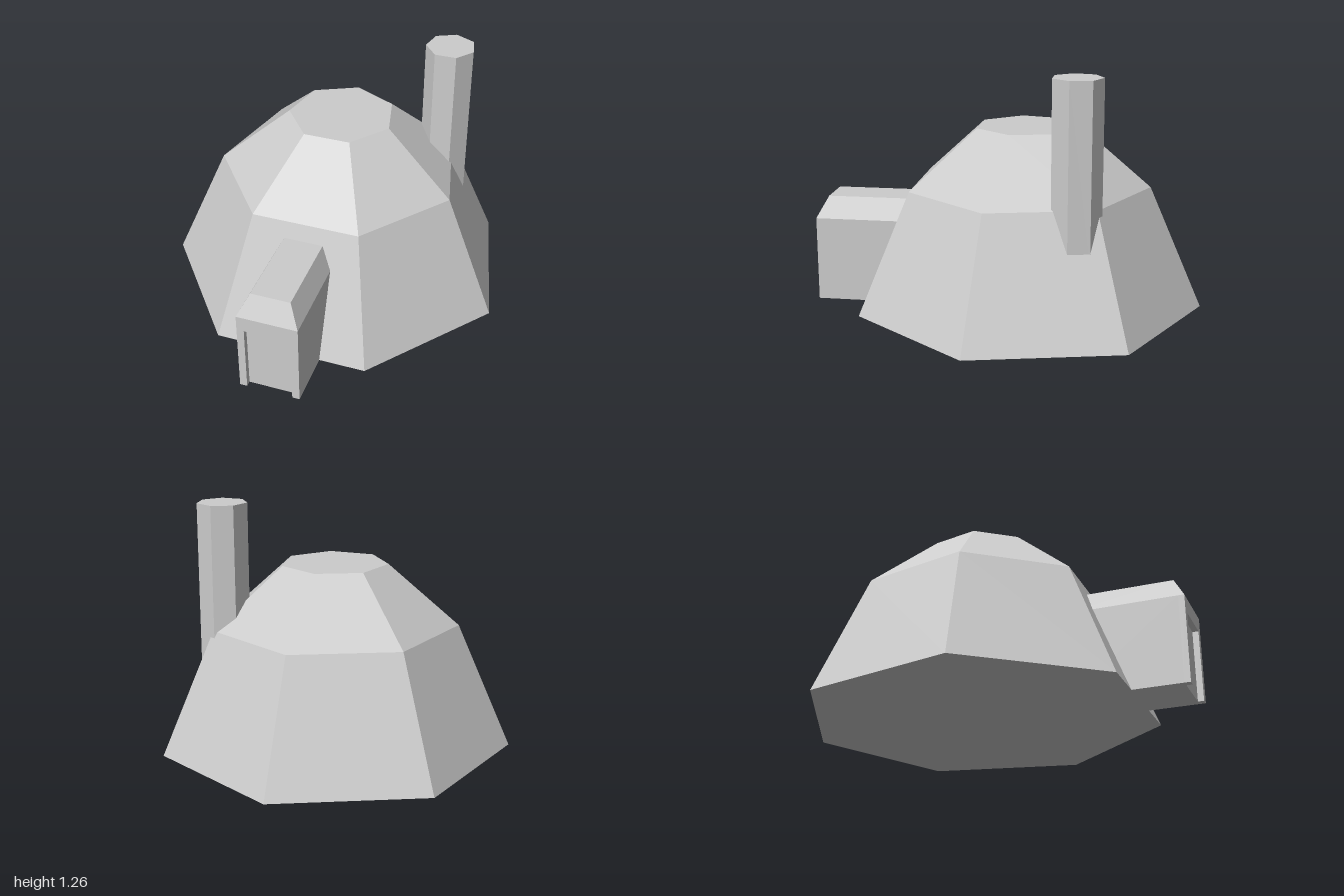
import * as THREE from 'three';

const material = new THREE.MeshStandardMaterial({ color: 0xcccccc, flatShading: true });

function addPart(parent, name, geometry, x = 0, y = 0, z = 0) {
  const mesh = new THREE.Mesh(geometry, material);
  mesh.name = name;
  mesh.position.set(x, y, z);
  parent.add(mesh);
  return mesh;
}

// Upright seven-sided solid with one corner pointing to the back; profile is [radius, height] pairs
function heptagonSolid(profile) {
  const points = profile.map(([r, y]) => new THREE.Vector2(r, y));
  return new THREE.LatheGeometry(points, 7, Math.PI).toNonIndexed();
}

// Entrance tunnel with a hipped roof and a recessed door
function createPorch() {
  const porch = new THREE.Group();
  porch.name = 'porch';
  const half = 0.154, eaves = 0.44, ridge = 0.55, back = 0.42, front = 1, recess = 0.03;

  // Walls behind the door frame
  const depth = front - recess - back;
  addPart(porch, 'porchWalls', new THREE.BoxGeometry(half * 2, eaves, depth), 0, eaves / 2, back + depth / 2);

  // Front frame, open at the doorway
  const doorHalf = 0.117, doorTop = 0.36;
  const frame = new THREE.Shape([
    [-half, 0], [-doorHalf, 0], [-doorHalf, doorTop], [doorHalf, doorTop],
    [doorHalf, 0], [half, 0], [half, eaves], [-half, eaves],
  ].map(([x, y]) => new THREE.Vector2(x, y)));
  const frameGeometry = new THREE.ExtrudeGeometry(frame, { depth: recess, bevelEnabled: false });
  addPart(porch, 'doorFrame', frameGeometry, 0, 0, front - recess);

  // Roof: a box whose top is drawn in at the sides and front
  const roof = new THREE.BoxGeometry(half * 2, ridge - eaves, front - back);
  const p = roof.attributes.position;
  for (let i = 0; i < p.count; i++) {
    if (p.getY(i) < 0) continue;
    p.setX(i, Math.sign(p.getX(i)) * 0.1);
    if (p.getZ(i) > 0) p.setZ(i, p.getZ(i) - 0.058);
  }
  roof.computeVertexNormals();
  addPart(porch, 'porchRoof', roof, 0, (eaves + ridge) / 2, (front + back) / 2);

  porch.position.x = 0.002;
  return porch;
}

export function createModel() {
  const model = new THREE.Group();
  model.name = 'hut';

  // Faceted dome: steep walls, shallower roof and a flat top
  addPart(model, 'dome', heptagonSolid([[0, 0], [0.905, 0], [0.632, 0.63], [0.273, 0.935], [0, 0.935]]), 0, 0, -0.095);

  // Chimney rising out of the left rear slope
  addPart(model, 'chimney', heptagonSolid([[0, 0.36], [0.126, 0.36], [0.126, 1.26], [0, 1.26]]), 0.478, 0, -0.384);

  model.add(createPorch());
  return model;
}
